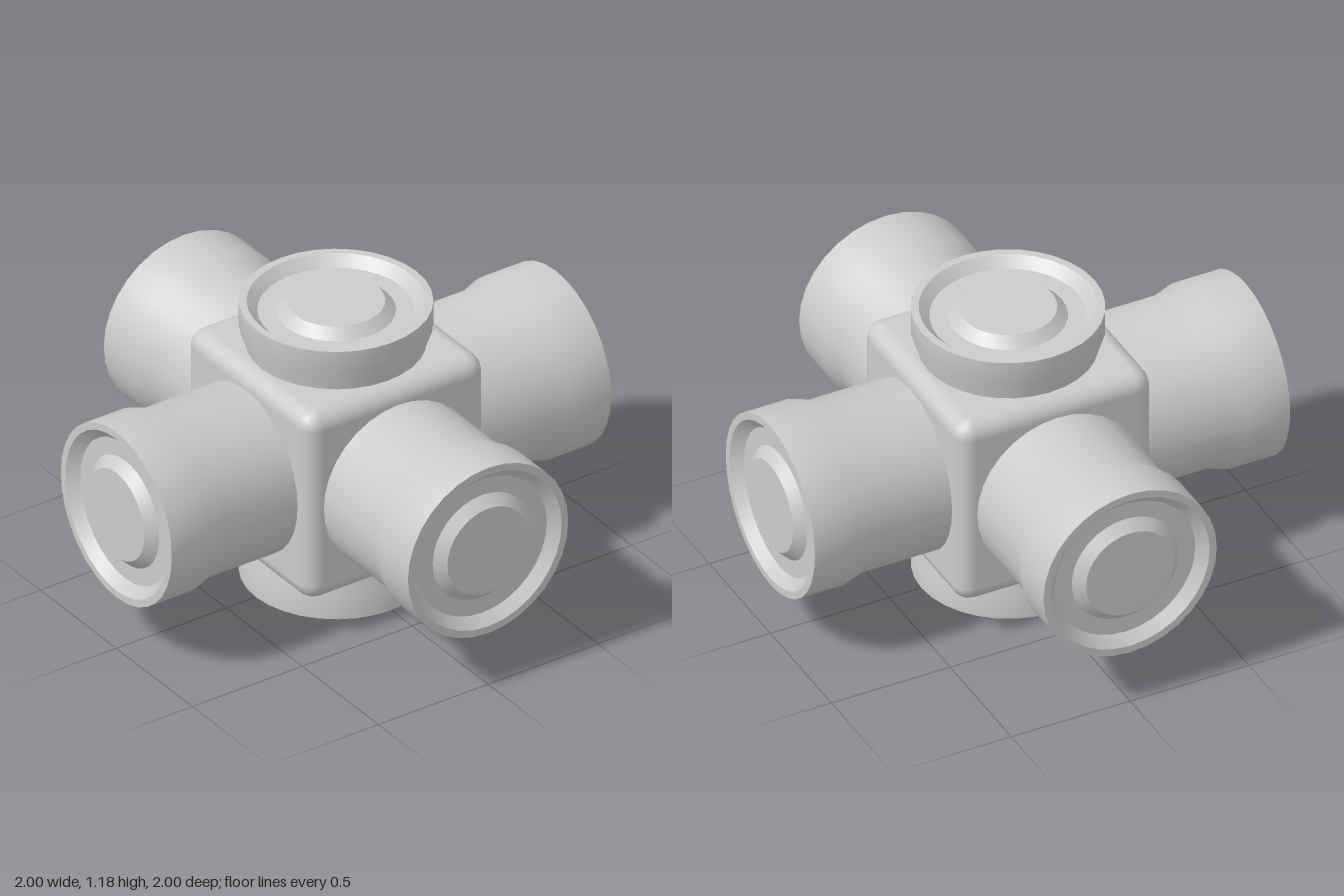
import * as THREE from 'three';
import { toCreasedNormals } from 'three/addons/utils/BufferGeometryUtils.js';
import { RoundedBoxGeometry } from 'three/addons/geometries/RoundedBoxGeometry.js';

const CENTER_Y = 0.59;
const material = new THREE.MeshStandardMaterial({ color: 0xcccccc });

// Flared pipe, turned around y: narrow neck, wider collar, recessed end with a raised disc
function pipeGeometry(neckEnd, collarStart, end) {
  const floor = end - 0.04;
  const profile = [
    [0.34, 0.3], [0.34, neckEnd], [0.365, collarStart], [0.365, end], // outer wall
    [0.335, end], [0.295, floor],                                     // rim and recess
    [0.225, floor], [0.185, end], [0, end],                           // raised disc
  ].map(([r, y]) => new THREE.Vector2(r, y));
  return toCreasedNormals(new THREE.LatheGeometry(profile, 32), 0.55);
}

export function createModel() {
  const model = new THREE.Group();
  model.name = 'pipeJunction';

  // Central block with softened edges
  const hub = new THREE.Mesh(new RoundedBoxGeometry(0.82, 0.82, 0.82, 2, 0.07), material);
  hub.name = 'hub';
  hub.position.y = CENTER_Y;
  model.add(hub);

  // Four long horizontal arms and two short vertical ones
  const longPipe = pipeGeometry(0.74, 0.82, 1);
  const shortPipe = pipeGeometry(0.42, 0.49, 0.59);
  const up = new THREE.Vector3(0, 1, 0);
  const arms = [
    ['leftArm', longPipe, 1, 0, 0],
    ['rightArm', longPipe, -1, 0, 0],
    ['frontArm', longPipe, 0, 0, 1],
    ['backArm', longPipe, 0, 0, -1],
    ['topArm', shortPipe, 0, 1, 0],
    ['bottomArm', shortPipe, 0, -1, 0],
  ];
  for (const [name, geometry, x, y, z] of arms) {
    const arm = new THREE.Mesh(geometry, material);
    arm.name = name;
    arm.position.y = CENTER_Y;
    arm.quaternion.setFromUnitVectors(up, new THREE.Vector3(x, y, z));
    model.add(arm);
  }
  return model;
}
